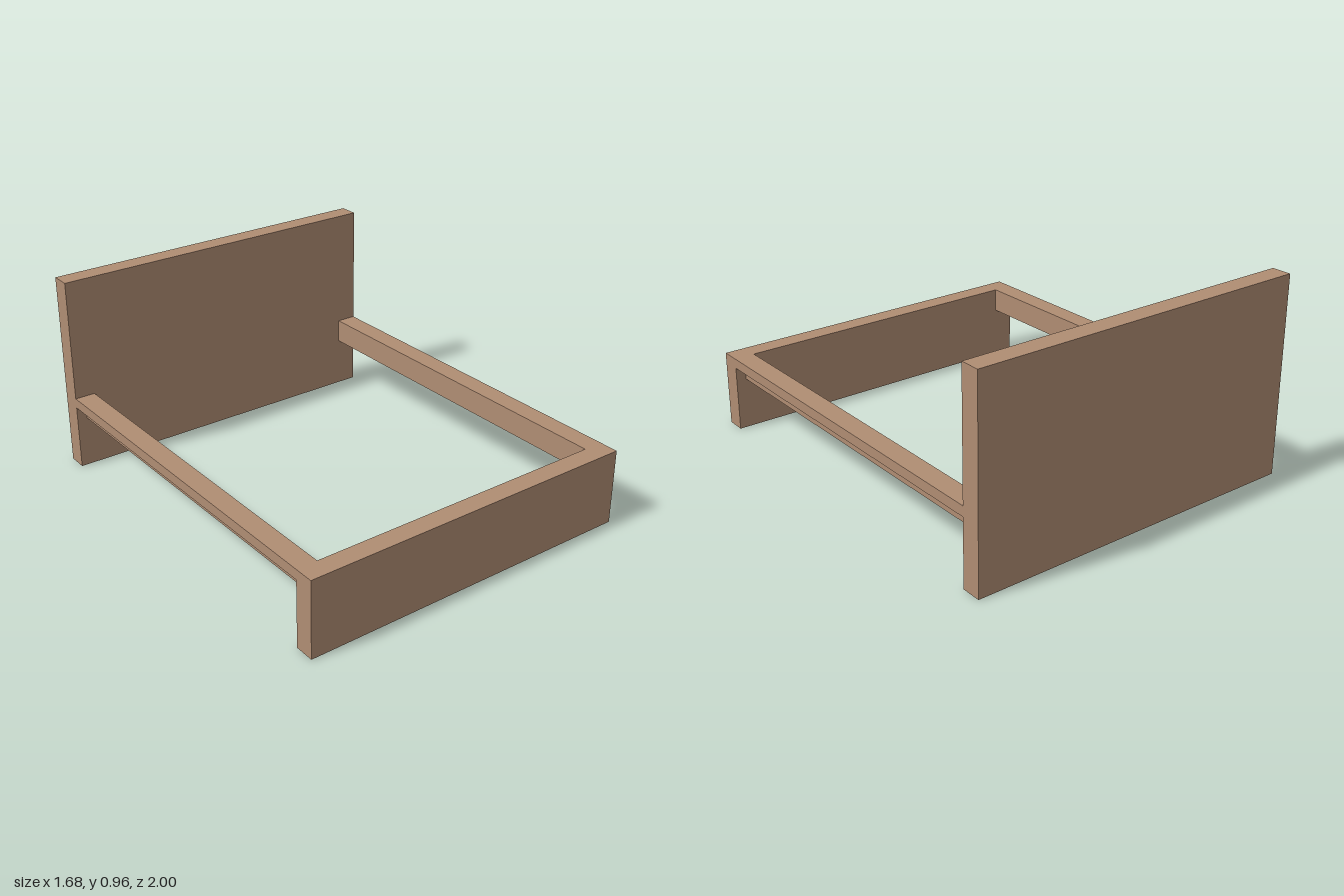
import * as THREE from 'three';

const HALF_WIDTH = 0.84;
const HALF_LENGTH = 1;
const BOARD = 0.095; // thickness of the end boards
const RAIL_TOP = 0.368;

export function createModel() {
  const bed = new THREE.Group();
  bed.name = 'bedFrame';
  const wood = new THREE.MeshStandardMaterial({ color: 0xb08d73 });

  // Upright boards at both ends, standing on the floor
  const addBoard = (name, height, z) => {
    const board = new THREE.Mesh(new THREE.BoxGeometry(HALF_WIDTH * 2, height, BOARD), wood);
    board.name = name;
    board.position.set(0, height / 2, z);
    bed.add(board);
  };
  addBoard('headboard', 0.96, -HALF_LENGTH + BOARD / 2);
  addBoard('footboard', RAIL_TOP, HALF_LENGTH - BOARD / 2);

  // Side rails: L-shaped section, with the lower web on the inner edge
  const inner = 0.74, web = 0.79, bottom = 0.25, step = 0.32;
  const section = [
    [inner, bottom], [web, bottom], [web, step],
    [HALF_WIDTH, step], [HALF_WIDTH, RAIL_TOP], [inner, RAIL_TOP],
  ];
  const zStart = -HALF_LENGTH + BOARD;
  for (const [name, side] of [['leftRail', 1], ['rightRail', -1]]) {
    const shape = new THREE.Shape(section.map(([x, y]) => new THREE.Vector2(side * x, y)));
    const geometry = new THREE.ExtrudeGeometry(shape, { depth: -2 * zStart, bevelEnabled: false });
    const rail = new THREE.Mesh(geometry, wood);
    rail.name = name;
    rail.position.z = zStart;
    bed.add(rail);
  }

  return bed;
}
